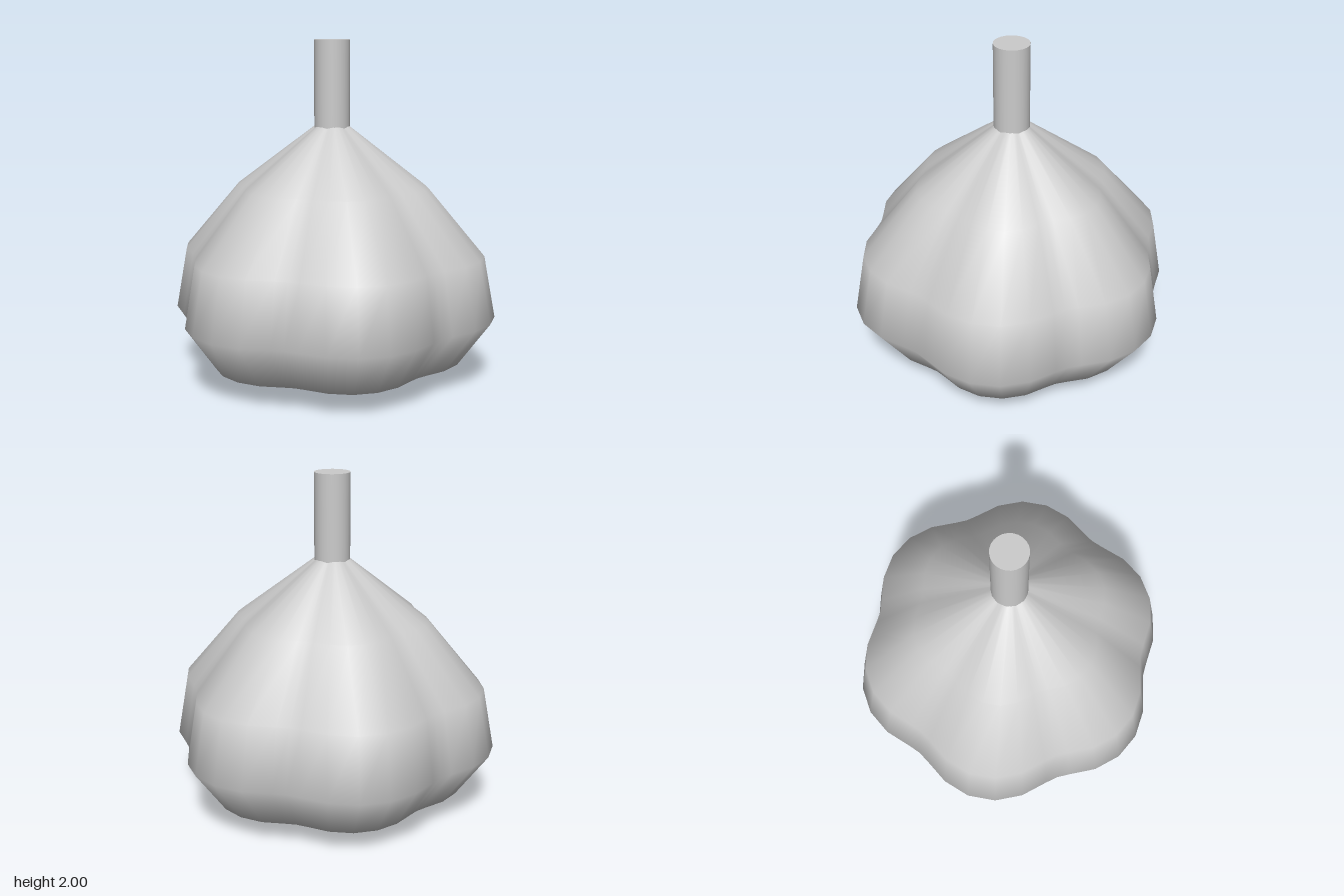
import * as THREE from 'three';

// One lobe of the six-lobed outline: [angle in degrees, relative radius]
const LOBE = [[-30, 0.9], [-25, 0.912], [-15, 0.966], [-5, 1], [5, 1], [15, 0.966], [25, 0.912]];
const OUTLINE = [];
for (let k = 0; k < 6; k++) {
  for (const [deg, r] of LOBE) {
    const a = THREE.MathUtils.degToRad(deg + 60 * k);
    OUTLINE.push([r * Math.cos(a), r * Math.sin(a)]);
  }
}

// Skin through scalloped rings given as [radius, height], bottom to top
function loftRings(profile) {
  const n = OUTLINE.length, pos = [], idx = [];
  for (const [r, y] of profile) for (const [x, z] of OUTLINE) pos.push(x * r, y, z * r);
  for (let j = 0; j < profile.length - 1; j++) {
    for (let i = 0; i < n; i++) {
      const a = j * n + i, b = j * n + (i + 1) % n;
      idx.push(a, a + n, b, b, a + n, b + n);
    }
  }
  const g = new THREE.BufferGeometry();
  g.setAttribute('position', new THREE.Float32BufferAttribute(pos, 3));
  g.setIndex(idx);
  g.computeVertexNormals();
  return g;
}

export function createModel() {
  const group = new THREE.Group();
  const mat = new THREE.MeshStandardMaterial({ color: 0xcccccc, side: THREE.DoubleSide });
  const add = (name, geometry) => {
    const mesh = new THREE.Mesh(geometry, mat);
    mesh.name = name;
    group.add(mesh);
    return mesh;
  };

  // Lobed bulb
  add('bulb', loftRings([
    [0.382, 0.035], [0.783, 0.135], [0.973, 0.4], [0.905, 0.76], [0.572, 1.15], [0.106, 1.5],
  ]));

  // Root plate: short rim and flat underside
  add('rootRim', loftRings([[0.382, 0], [0.382, 0.035]]));
  const disc = new THREE.Shape(OUTLINE.map(([x, z]) => new THREE.Vector2(x * 0.382, z * 0.382)));
  add('rootUnderside', new THREE.ShapeGeometry(disc).rotateX(Math.PI / 2));

  // Stem
  add('stem', new THREE.CylinderGeometry(0.104, 0.104, 0.52, 24)).position.y = 1.74;

  return group;
}
